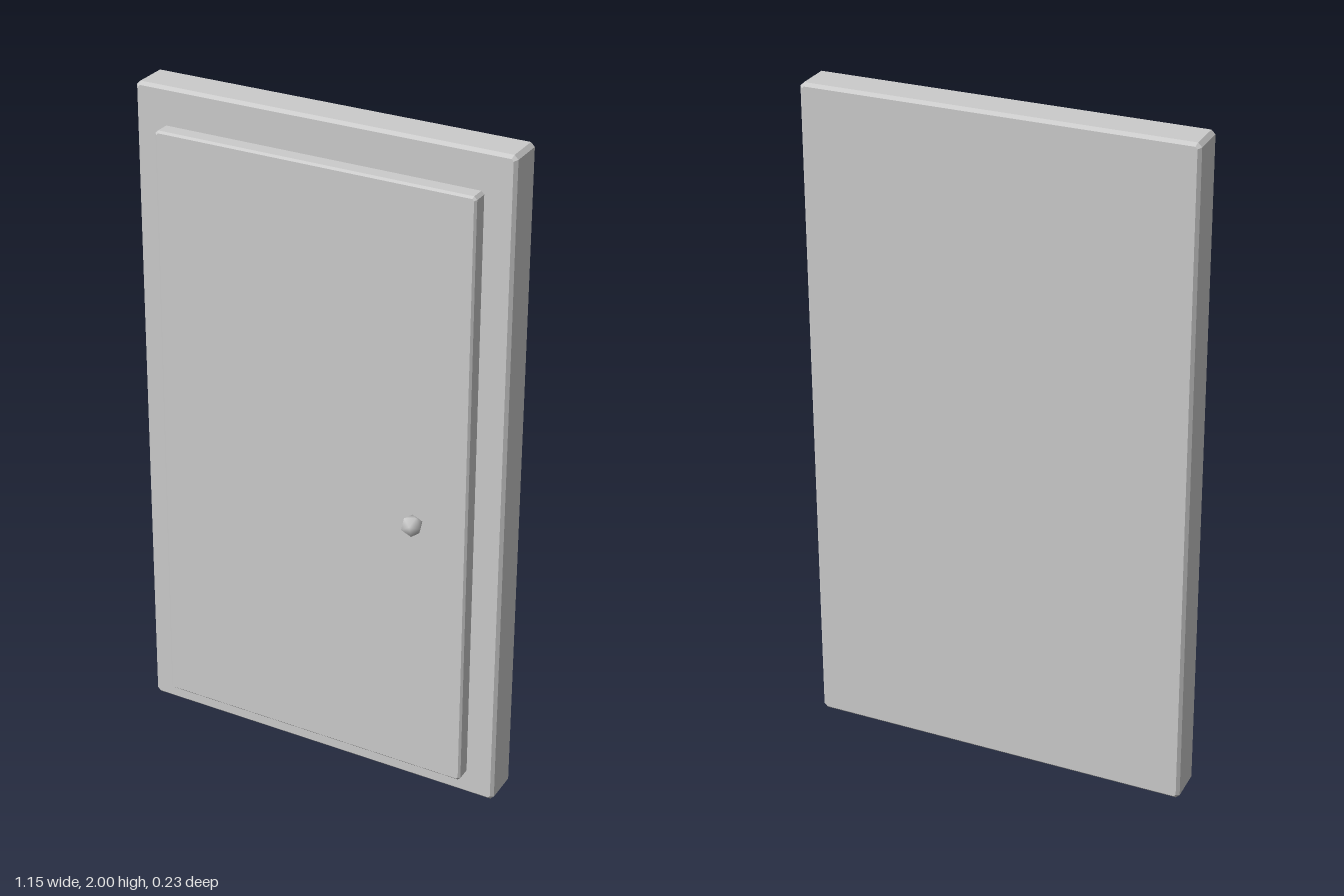
import * as THREE from 'three';

const grey = new THREE.MeshStandardMaterial({ color: 0xcccccc });
grey.name = 'plain grey';

// Slightly tapered slab with clipped corners and narrow bevelled rims
function slab(name, topHalf, bottomHalf, y0, y1, z0, z1, bevel, clip) {
  const t = topHalf - bevel, b = bottomHalf - bevel;
  const lo = y0 + bevel, hi = y1 - bevel;
  const shape = new THREE.Shape([
    [-b + clip, lo], [b - clip, lo], [b, lo + clip], [t, hi - clip],
    [t - clip, hi], [-t + clip, hi], [-t, hi - clip], [-b, lo + clip],
  ].map(([x, y]) => new THREE.Vector2(x, y)));
  const geometry = new THREE.ExtrudeGeometry(shape, {
    depth: z1 - z0 - 2 * bevel,
    bevelEnabled: true,
    bevelSize: bevel,
    bevelThickness: bevel,
    bevelSegments: 1,
  });
  geometry.translate(0, 0, z0 + bevel);
  const mesh = new THREE.Mesh(geometry, grey);
  mesh.name = name;
  return mesh;
}

export function createModel() {
  const model = new THREE.Group();
  model.name = 'door';

  // Backing frame and the raised door leaf
  model.add(slab('frame', 0.564, 0.576, 0, 2, -0.115, 0.002, 0.009, 0.006));
  model.add(slab('doorLeaf', 0.478, 0.49, 0.072, 1.89, -0.02, 0.049, 0.006, 0.005));

  // Small smooth-shaded faceted knob
  const ball = new THREE.IcosahedronGeometry(0.032, 0);
  const p = ball.attributes.position, v = new THREE.Vector3();
  for (let i = 0; i < p.count; i++) {
    v.fromBufferAttribute(p, i).normalize();
    ball.attributes.normal.setXYZ(i, v.x, v.y, v.z);
  }
  const knob = new THREE.Mesh(ball, grey);
  knob.name = 'knob';
  knob.position.set(0.335, 0.907, 0.084);
  knob.rotation.set(0.2, 0.3, 0.1);
  model.add(knob);

  return model;
}
